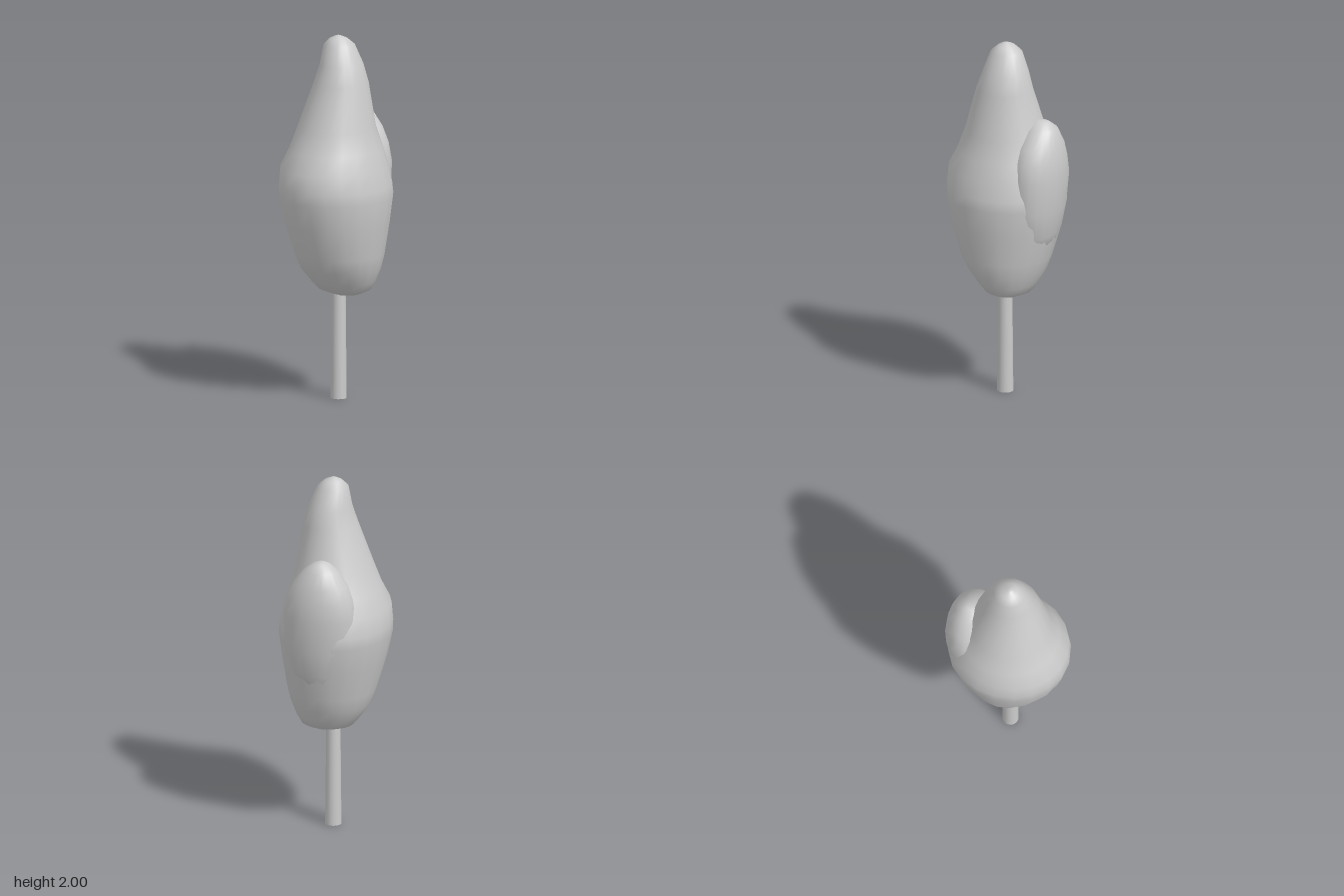
import * as THREE from 'three';

const SEGMENTS = 20;

// Closed smooth skin through oval rings [y, xMin, xMax, zBack, zFront], listed bottom to top
function loft(rings, material) {
  const positions = [], index = [];
  for (const [y, x0, x1, z0, z1] of rings) {
    for (let i = 0; i < SEGMENTS; i++) {
      const a = (i / SEGMENTS) * Math.PI * 2;
      positions.push((x0 + x1) / 2 + (x1 - x0) / 2 * Math.cos(a), y, (z0 + z1) / 2 + (z1 - z0) / 2 * Math.sin(a));
    }
  }
  for (let r = 0; r < rings.length - 1; r++) {
    for (let i = 0; i < SEGMENTS; i++) {
      const a = r * SEGMENTS + i, b = r * SEGMENTS + (i + 1) % SEGMENTS;
      index.push(a, a + SEGMENTS, b, b, a + SEGMENTS, b + SEGMENTS);
    }
  }
  // End caps
  for (const r of [0, rings.length - 1]) {
    const [y, x0, x1, z0, z1] = rings[r], c = positions.length / 3;
    positions.push((x0 + x1) / 2, y, (z0 + z1) / 2);
    for (let i = 0; i < SEGMENTS; i++) {
      const a = r * SEGMENTS + i, b = r * SEGMENTS + (i + 1) % SEGMENTS;
      index.push(c, ...(r === 0 ? [a, b] : [b, a]));
    }
  }
  const geometry = new THREE.BufferGeometry();
  geometry.setAttribute('position', new THREE.Float32BufferAttribute(positions, 3));
  geometry.setIndex(index);
  geometry.computeVertexNormals();
  return new THREE.Mesh(geometry, material);
}

export function createModel() {
  const tree = new THREE.Group();
  tree.name = 'tree';
  const material = new THREE.MeshStandardMaterial({ color: 0xcccccc });

  // Straight round trunk
  const trunk = new THREE.Mesh(new THREE.CylinderGeometry(0.038, 0.044, 0.64, 16), material);
  trunk.position.set(0.015, 0.32, 0.01);
  trunk.name = 'trunk';

  // Tall tapering crown
  const crown = loft([
    [0.573, -0.03, 0.12, -0.09, 0.04],
    [0.60, -0.11, 0.18, -0.15, 0.10],
    [0.65, -0.15, 0.21, -0.185, 0.15],
    [0.72, -0.20, 0.24, -0.22, 0.205],
    [0.80, -0.225, 0.26, -0.25, 0.25],
    [0.98, -0.275, 0.288, -0.30, 0.315],
    [1.12, -0.305, 0.305, -0.325, 0.342],
    [1.18, -0.306, 0.297, -0.325, 0.344],
    [1.28, -0.295, 0.28, -0.30, 0.335],
    [1.38, -0.25, 0.25, -0.26, 0.28],
    [1.50, -0.205, 0.215, -0.21, 0.235],
    [1.74, -0.12, 0.177, -0.15, 0.162],
    [1.84, -0.09, 0.145, -0.128, 0.127],
    [1.95, -0.07, 0.10, -0.083, 0.09],
    [1.985, -0.035, 0.06, -0.04, 0.05],
    [2.0, 0.0, 0.025, -0.005, 0.02],
  ], material);
  crown.name = 'crown';

  // Rounded secondary lobe bulging out of the back
  const lobe = loft([
    [0.85, -0.10, 0.13, -0.255, -0.10],
    [0.95, -0.14, 0.18, -0.295, -0.08],
    [1.10, -0.18, 0.22, -0.33, -0.05],
    [1.28, -0.19, 0.22, -0.345, -0.05],
    [1.38, -0.17, 0.20, -0.338, -0.06],
    [1.46, -0.14, 0.165, -0.325, -0.08],
    [1.545, -0.08, 0.10, -0.297, -0.12],
    [1.58, -0.035, 0.05, -0.255, -0.15],
    [1.588, -0.005, 0.02, -0.23, -0.18],
  ], material);
  lobe.name = 'backLobe';

  tree.add(trunk, crown, lobe);
  return tree;
}
